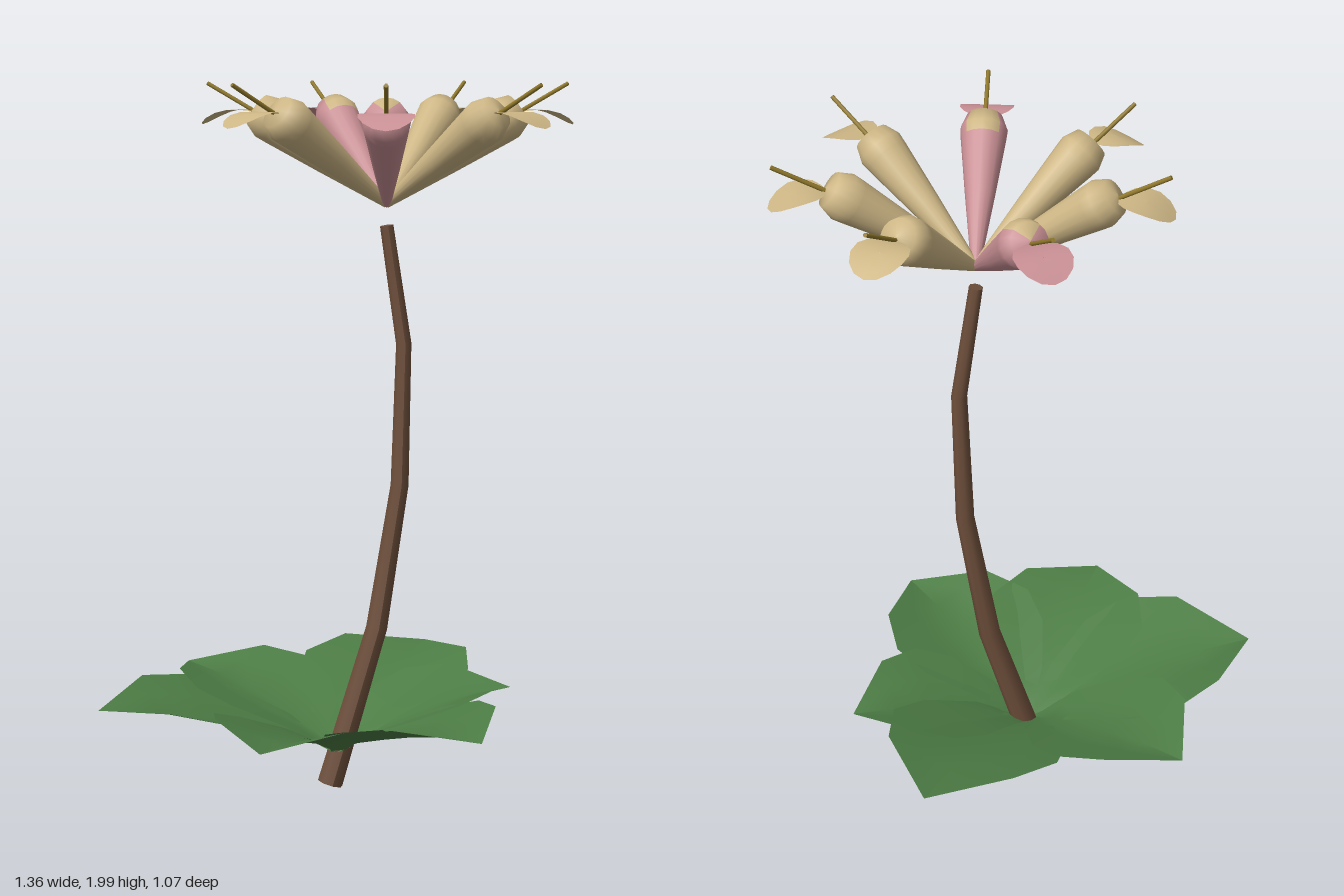
import * as THREE from 'three';

const paint = (name, color) => {
  const m = new THREE.MeshStandardMaterial({ color, side: THREE.DoubleSide });
  m.name = name;
  return m;
};

function part(name, geometry, material) {
  const mesh = new THREE.Mesh(geometry, material);
  mesh.name = name;
  return mesh;
}

// Move every vertex of a geometry by a rule
function reshape(geometry, rule) {
  const p = geometry.attributes.position;
  const v = new THREE.Vector3();
  for (let i = 0; i < p.count; i++) {
    v.fromBufferAttribute(p, i);
    rule(v, i);
    p.setXYZ(i, v.x, v.y, v.z);
  }
  geometry.computeVertexNormals();
  return geometry;
}

// Bent, tapering stem: each ring is x, y, radius
function stemGeometry() {
  const rings = [[-0.015, 0.02, 0.037], [0.12, 0.47, 0.031], [0.185, 0.88, 0.026], [0.195, 1.28, 0.022], [0.145, 1.61, 0.019]];
  const n = rings.length - 1;
  return reshape(new THREE.CylinderGeometry(1, 1, n, 8, n), (v) => {
    const i = Math.round(v.y + n / 2);
    const [x, y, r] = rings[i];
    const a = rings[Math.max(i - 1, 0)], b = rings[Math.min(i + 1, n)];
    const tilt = Math.atan2(b[0] - a[0], b[1] - a[1]);
    v.set(x + v.x * r * Math.cos(tilt), y - v.x * r * Math.sin(tilt), v.z * r - 0.02);
  });
}

// Cupped leaf pointing along +x: rows are distance, half width, rib height, edge height
function leafGeometry(length, tipHeight) {
  const rows = [
    [0, 0.03, 0.12, 0.12], [0.15, 0.2, 0.165, 0.2], [0.35, 0.36, 0.205, 0.26],
    [0.54, 0.41, 0.24, 0.3], [0.76, 0.31, 0.272, 0.325], [1, 0, 0.29, 0.29],
  ];
  const n = rows.length - 1;
  return reshape(new THREE.PlaneGeometry(2, n, 4, n), (v) => {
    const [t, w, rib, edge] = rows[Math.round(v.y + n / 2)];
    const y = rib + (edge - rib) * Math.abs(v.x);
    v.set(t * length, y + (tipHeight - 0.29) * t, v.x * w * length);
  });
}

// Turned section of a blossom, profile points are radius, height
const turned = (points, start = 0, sweep = Math.PI * 2, sides = 16) =>
  new THREE.LatheGeometry(points.map(([r, y]) => new THREE.Vector2(r, y)), sides, start, sweep);

// Rounded lower lip that droops at its tip
function lipGeometry() {
  const g = new THREE.RingGeometry(0.001, 0.075, 14, 4).rotateX(-Math.PI / 2).translate(0.455, 0, 0);
  return reshape(g, (v) => { v.y = 0.256 - 3.5 * (v.x - 0.42) ** 2; });
}

export function createModel() {
  const model = new THREE.Group();
  model.name = 'floweringPlant';
  const green = paint('leafGreen', 0x4d7d45);
  const brown = paint('stemBrown', 0x6e4f3b);
  const cream = paint('blossomCream', 0xcdb685);
  const pink = paint('blossomPink', 0xc99095);
  const ochre = paint('stamenOchre', 0x927a2c);

  model.add(part('stem', stemGeometry(), brown));

  // Basal leaves: tip x, tip z, tip height
  const tips = [
    [-0.68, 0.05, 0.29], [-0.36, -0.46, 0.285], [0.38, -0.515, 0.3],
    [0.53, -0.07, 0.26], [0.285, 0.53, 0.28], [-0.305, 0.51, 0.28],
  ];
  for (const [x, z, height] of tips) {
    const leaf = part('leaf', leafGeometry(Math.hypot(x, z), height), green);
    leaf.rotation.y = -Math.atan2(z, x);
    model.add(leaf);
  }

  // Blossom parts, shared by the seven flowers
  const tube = turned([[0.012, 0], [0.04, 0.21], [0.061, 0.38]]);
  const end = [[0.061, 0.38], [0.064, 0.41], [0.049, 0.45], [0.0001, 0.46]];
  const hood = turned(end, Math.PI * 1.25, Math.PI / 2, 4);
  const mouth = turned(end, -Math.PI * 0.25, Math.PI * 1.5, 12);
  const lip = lipGeometry();
  const stamen = new THREE.CylinderGeometry(0.006, 0.006, 0.165, 6);

  const umbel = new THREE.Group();
  umbel.name = 'flowerHead';
  umbel.position.set(0.145, 1.67, -0.02);
  for (let i = 0; i < 7; i++) {
    const colour = i === 2 || i === 5 ? pink : cream;
    const flower = new THREE.Group();
    flower.name = 'flower';
    flower.rotation.y = (i / 7) * Math.PI * 2;
    const trumpet = new THREE.Group();
    trumpet.name = 'trumpet';
    trumpet.rotation.z = -0.969;
    trumpet.add(part('tube', tube, colour), part('mouth', mouth, colour), part('hood', hood, cream));
    const pin = part('stamen', stamen, ochre);
    pin.position.set(0.443, 0.287, 0);
    pin.rotation.z = -1.06;
    flower.add(trumpet, part('lowerLip', lip, colour), pin);
    umbel.add(flower);
  }
  model.add(umbel);
  return model;
}
